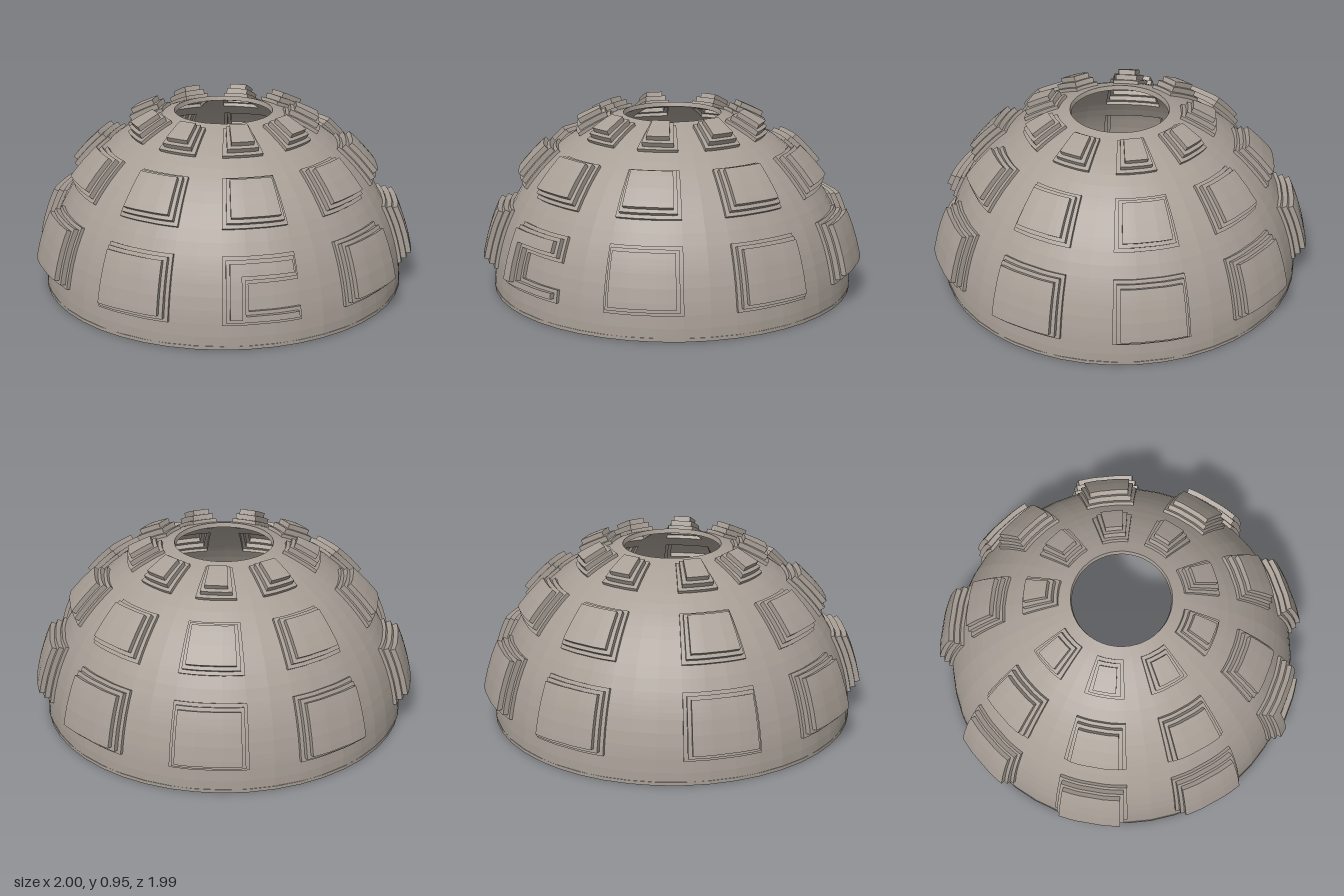
import * as THREE from 'three';

const SEG = 360 / 46, RING = SEG / 2;    // one facet of the dome, in degrees
const BAY = 5 * SEG, COLUMNS = 9;        // each coffer column with its rib; one spare facet at the back
const HALF = 1.5 * SEG;                  // half width of a coffer
const TOP = 19 * RING;                   // elevation of the open eye
const OUTER = 0.947, INNER = 0.923;      // shell radii
const RISE = [0, 0.018, 0.045, 0.071];   // outward offset of each coffer step

// Rows of coffers: elevation range and sideways inset of each step
const ROWS = [
  { name: 'lowerCoffers', lo: 2 * RING, hi: 7 * RING, inset: 1.15 },
  { name: 'middleCoffers', lo: 9 * RING, hi: 13 * RING, inset: 1.5 },
  { name: 'upperCoffers', lo: 15 * RING, hi: 18 * RING, inset: 2.5 },
];
const EL_INSET = 1.12;
// Notch that leaves one lower coffer C-shaped
const NOTCH = { bay: 3, side: -SEG / 2, lo: 3 * RING, hi: 5 * RING, grow: 1.05 };

// Sorted values without repeats
const sorted = (values) =>
  [...new Set(values.map((n) => +n.toFixed(4)))].sort((a, b) => a - b);

// Row and step level (0 to 3) of a point of the dome
function levelAt(az, el) {
  const row = ROWS.findIndex((r) => el > r.lo && el < r.hi);
  if (row < 0) return { row, level: 0 };
  const r = ROWS[row], bay = Math.floor((az + 180) / BAY);
  const side = az + 180 - (bay + 0.5) * BAY;
  let level = 0;
  for (let k = 0; k < 3; k++) {
    const inside = Math.abs(side) < HALF - k * r.inset &&
      el > r.lo + k * EL_INSET && el < r.hi - k * EL_INSET;
    const g = k * NOTCH.grow;
    const notched = row === 0 && bay === NOTCH.bay &&
      side > NOTCH.side - g && el > NOTCH.lo - g && el < NOTCH.hi + g;
    if (inside && !notched) level = k + 1;
  }
  return { row, level };
}

function point(radius, az, el) {
  const a = THREE.MathUtils.degToRad(az), e = THREE.MathUtils.degToRad(el);
  return new THREE.Vector3(
    radius * Math.cos(e) * Math.sin(a), radius * Math.sin(e), radius * Math.cos(e) * Math.cos(a));
}

// Adds a quad whose front looks along the given direction
function quad(list, a, b, c, d, facing) {
  const n = c.clone().sub(a).cross(d.clone().sub(b));
  const p = n.dot(facing) < 0 ? [a, d, c, b] : [a, b, c, d];
  for (const i of [0, 1, 2, 0, 2, 3]) list.push(p[i].x, p[i].y, p[i].z);
}

// Grid lines of azimuth and elevation: dome facets plus the coffer steps
function gridLines() {
  const local = [], els = [];
  for (let i = 0; i < 5; i++) local.push((i - 2.5) * SEG);
  for (let j = 0; j <= 19; j++) els.push(j * RING);
  for (let k = 0; k < 3; k++) {
    for (const r of ROWS) {
      local.push(HALF - k * r.inset, k * r.inset - HALF);
      els.push(r.lo + k * EL_INSET, r.hi - k * EL_INSET);
    }
    const g = k * NOTCH.grow;
    local.push(NOTCH.side - g);
    els.push(NOTCH.lo - g, NOTCH.hi + g);
  }
  const azs = [180 - SEG, 180];
  for (let b = 0; b < COLUMNS; b++) {
    for (const a of local) azs.push(a + (b + 0.5) * BAY - 180);
  }
  return { azs: sorted(azs), els: sorted(els) };
}

export function createModel() {
  const stone = new THREE.MeshStandardMaterial({ color: 0xa89f96 });
  stone.name = 'warmGreyStone';
  stone.flatShading = true;

  const { azs, els } = gridLines();
  const columns = azs.length - 1, rows = els.length - 1;
  const cell = (i, j) => {
    const w = i % columns;
    return levelAt((azs[w] + azs[w + 1]) / 2, (els[j] + els[j + 1]) / 2);
  };

  const parts = { domeShell: [] };
  for (const r of ROWS) parts[r.name] = [];

  // Step wall between two neighbouring cells, along the edge p to q
  function wall(here, there, p, q, toThere) {
    if (here.level === there.level) return;
    const higher = here.level > there.level;
    const list = parts[ROWS[higher ? here.row : there.row].name];
    for (const [base, sign] of [[OUTER, 1], [INNER, -1]]) {
      const r0 = base + RISE[here.level], r1 = base + RISE[there.level];
      quad(list, point(r0, ...p), point(r0, ...q), point(r1, ...q), point(r1, ...p),
        toThere.clone().multiplyScalar(higher ? sign : -sign));
    }
  }

  for (let i = 0; i < columns; i++) {
    const a0 = azs[i], a1 = azs[i + 1], am = (a0 + a1) / 2;
    for (let j = 0; j < rows; j++) {
      const e0 = els[j], e1 = els[j + 1], here = cell(i, j);
      const list = here.level ? parts[ROWS[here.row].name] : parts.domeShell;
      const normal = point(1, am, (e0 + e1) / 2);
      // Outer and inner skins
      for (const [base, sign] of [[OUTER, 1], [INNER, -1]]) {
        const r = base + RISE[here.level];
        quad(list, point(r, a0, e0), point(r, a1, e0), point(r, a1, e1), point(r, a0, e1),
          normal.clone().multiplyScalar(sign));
      }
      // Step walls to the next cell sideways and upwards
      wall(here, cell(i + 1, j), [a1, e0], [a1, e1], point(1, a1 + 90, 0));
      if (j < rows - 1) wall(here, cell(i, j + 1), [a0, e1], [a1, e1], point(1, am, e1 + 90));
    }
    // Rim of the open eye
    quad(parts.domeShell, point(INNER, a0, TOP), point(INNER, a1, TOP),
      point(OUTER, a1, TOP), point(OUTER, a0, TOP), point(1, am, TOP + 90));
  }

  const model = new THREE.Group();
  model.name = 'cofferedDome';
  for (const [name, positions] of Object.entries(parts)) {
    const geometry = new THREE.BufferGeometry();
    geometry.setAttribute('position', new THREE.Float32BufferAttribute(positions, 3));
    geometry.computeVertexNormals();
    const mesh = new THREE.Mesh(geometry, stone);
    mesh.name = name;
    model.add(mesh);
  }

  // Flat ring under the shell, reaching inwards
  const ringProfile = [[0.867, 0], [0.949, 0], [0.949, 0.018], [0.867, 0.018], [0.867, 0]]
    .map(([r, y]) => new THREE.Vector2(r, y));
  const baseRing = new THREE.Mesh(new THREE.LatheGeometry(ringProfile, 46), stone);
  baseRing.name = 'baseRing';
  model.add(baseRing);

  for (const mesh of model.children) mesh.position.set(0.002, 0, -0.008);
  return model;
}
